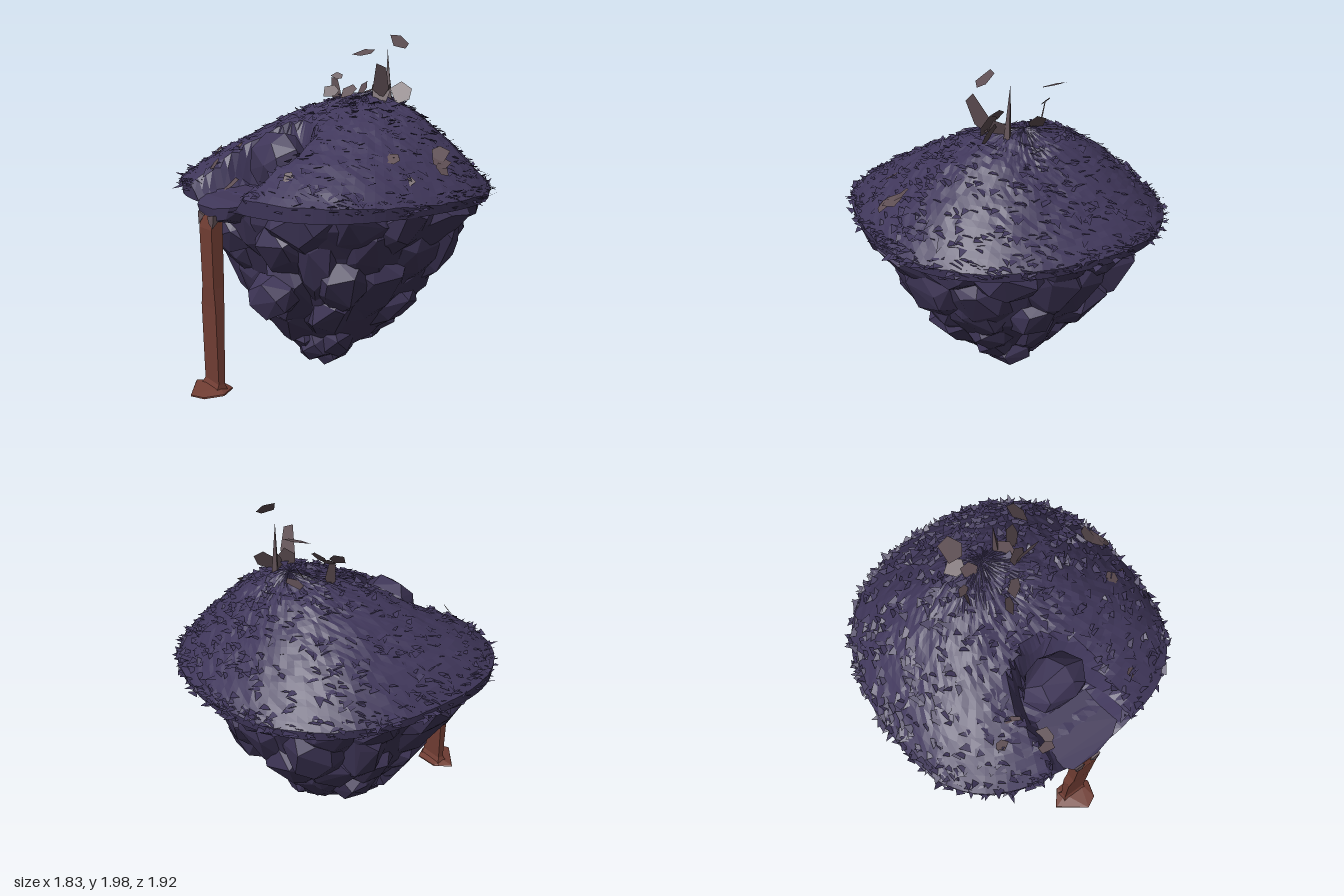
import * as THREE from 'three';
import { mergeGeometries } from 'three/addons/utils/BufferGeometryUtils.js';
import { ConvexGeometry } from 'three/addons/geometries/ConvexGeometry.js';

const mat = (name, color, side = THREE.FrontSide) =>
  Object.assign(new THREE.MeshStandardMaterial({ color, flatShading: true, side }), { name });

function seeded(seed) {
  return () => {
    seed = (seed * 1664525 + 1013904223) % 4294967296;
    return seed / 4294967296;
  };
}

const { cos, sin, abs, pow, hypot, min, max, PI } = Math;
const { lerp, smoothstep: smooth } = THREE.MathUtils;
const V = (x, y, z) => new THREE.Vector3(x, y, z);

// Rounded-square outline of the island, fuller at the front
function outline(a) {
  const n = sin(a) > 0 ? 2.9 : 2.3;
  const r = 1 / pow(pow(abs(cos(a)) / 0.87, n) + pow(abs(sin(a)) / 0.855, n), 1 / n);
  return [r * cos(a), r * sin(a) - 0.05];
}

// Arch-shaped hollow: round behind the boulder, open towards the front
const hollow = (x, z) => 1 - smooth(hypot(x - 0.01, min(0, z - 0.45)), 0.19, 0.27);

// Mound surface: t runs from the peak (0) to the rim (1)
function mound(t, a) {
  const [ox, oz] = outline(a);
  const x = lerp(0.03, ox, t), z = lerp(-0.3, oz, t);
  const s = sin(a);
  const e = 1.85 - (s > 0 ? 0.4 : 0.65) * s * s;
  let y = 1.12 + 0.535 * (1 - pow(t, e)) + 0.012 * sin(x * 19 + z * 7) * sin(z * 23) * (1 - t);
  y += 0.04 * max(0, s) * smooth(t, 0.6, 0.9);
  y = lerp(y, min(y, 1.13 - 0.06 * smooth(z, 0.6, 0.8)), hollow(x, z));
  return V(x, y, z);
}

// Closed surface through loops of points, each loop running from +x towards +z
function skin(loops) {
  const n = loops[0].length, pos = [], idx = [];
  loops.forEach(l => l.forEach(p => pos.push(p.x, p.y, p.z)));
  for (let i = 0; i < loops.length - 1; i++) for (let j = 0; j < n; j++) {
    const a = i * n + j, c = i * n + (j + 1) % n;
    idx.push(a, c, a + n, c, c + n, a + n);
  }
  const g = new THREE.BufferGeometry();
  g.setAttribute('position', new THREE.Float32BufferAttribute(pos, 3));
  g.setIndex(idx);
  g.computeVertexNormals();
  return g;
}

// Underside sizes: height, half width, front depth, back depth
const LEVELS = [[1.1, 0.86, 0.78, 0.86], [1, 0.84, 0.77, 0.81], [0.83, 0.72, 0.69, 0.73],
  [0.6, 0.62, 0.58, 0.63], [0.4, 0.47, 0.5, 0.44], [0.2, 0.29, 0.34, 0.3], [0.05, 0.1, 0.14, 0.1]];

function under(y, a, inset = 0) {
  let i = 0;
  while (i < LEVELS.length - 2 && y < LEVELS[i + 1][0]) i++;
  const A = LEVELS[i], B = LEVELS[i + 1], k = (A[0] - y) / (A[0] - B[0]);
  const w = lerp(A[1], B[1], k), d = sin(a) > 0 ? lerp(A[2], B[2], k) : lerp(A[3], B[3], k);
  const q = pow(pow(abs(cos(a)), 2.3) + pow(abs(sin(a)), 2.3), -1 / 2.3);
  return V((w - inset) * q * cos(a) + 0.01, y, (d - inset) * q * sin(a));
}

// Angular slab lying on the underside: hull of a rim, a raised face and a buried back
function slab(rnd, y, a, h, w) {
  const pts = [], da = w / max(0.25, hypot(under(y, a).x, under(y, a).z));
  const put = (r, b, inset) => {
    const py = THREE.MathUtils.clamp(y + r * h * sin(b), 0.06, 1.1);
    pts.push(under(py, a + r * da * cos(b), inset));
  };
  const turn = rnd() * 6, lift = (rnd() - 0.5) * 0.05;
  for (let i = 0; i < 7; i++) {
    const b = turn + (i + rnd() * 0.5) / 7 * 2 * PI;
    put(1.1, b, 0.06 + rnd() * 0.03);
    if (i % 2 === 0) put(0.6, b, -0.01 + lift + rnd() * 0.03);
    if (i % 3 === 0) put(0.6, b, 0.17);
  }
  return new ConvexGeometry(pts);
}

// Faceted stone: hull of jittered points on a boxy ellipsoid
function stone(rnd, c, sx, sy, sz, count = 18) {
  const pts = [];
  for (let i = 0; i < count; i++) {
    const h = 1 - 2 * (i + 0.5) / count, b = i * 2.4 + rnd() * 0.7, r = Math.sqrt(1 - h * h);
    const v = V(r * cos(b), h, r * sin(b));
    v.multiplyScalar(pow(abs(v.x) ** 2.5 + abs(v.y) ** 2.5 + abs(v.z) ** 2.5, -0.4) * (0.92 + rnd() * 0.12));
    pts.push(v.multiply(V(sx, sy, sz)));
  }
  return new ConvexGeometry(pts).translate(c.x, c.y, c.z);
}

export function createModel() {
  const group = new THREE.Group();
  const grassMat = mat('duskyGrass', 0x40375b, THREE.DoubleSide);
  const rockMat = mat('purpleRock', 0x3f3658);
  const flowMat = mat('rustyFlow', 0x723e34, THREE.DoubleSide);
  const shardMat = mat('brownShards', 0x5f4f54, THREE.DoubleSide);
  const add = (name, geo, m) => {
    const mesh = new THREE.Mesh(geo, m);
    mesh.name = name;
    group.add(mesh);
    return mesh;
  };
  const rnd = seeded(41);

  // Mound with a short skirt and closed underside
  const N = 96, rings = 26, loops = [];
  const ring = f => Array.from({ length: N }, (_, j) => f(j / N * 2 * PI));
  for (let i = 0; i <= rings; i++) loops.push(ring(a => {
    const p = mound(i / rings, a);
    if (i > 0) p.y += (rnd() - 0.5) * 0.01;
    return p;
  }));
  loops.push(ring(a => mound(1, a).multiply(V(0.99, 0, 0.99)).setY(1.07)));
  loops.push(ring(() => V(0, 1.09, 0)));
  add('grassMound', skin(loops), grassMat);

  // Grass tufts lying along the slope, thickest and wildest at the rim
  const tufts = [];
  for (let i = 0; i < 1350; i++) {
    const rim = i > 850, a = rnd() * 2 * PI;
    const t = rim ? 0.93 + rnd() * 0.07 : 0.12 + 0.86 * pow(rnd(), 0.6);
    const p = mound(t, a);
    if (hollow(p.x, p.z) > 0.05) continue;
    const b = a + (rnd() - 0.5) * 3, w = 0.015 + rnd() * 0.02, l = 0.03 + rnd() * 0.035;
    const tip = mound(min(1, t + l * cos(b - a)), a + l * sin(b - a) / max(0.2, t));
    if (rim) p.y -= rnd() * 0.05;
    const up = rim ? p.y + (rnd() - 0.4) * 0.05 : tip.y + 0.005 + rnd() * 0.025;
    tufts.push(p.x - sin(b) * w, p.y + 0.006, p.z + cos(b) * w,
      p.x + cos(b) * l, up, p.z + sin(b) * l,
      p.x + sin(b) * w, p.y - 0.004, p.z - cos(b) * w);
  }
  const tuftGeo = new THREE.BufferGeometry();
  tuftGeo.setAttribute('position', new THREE.Float32BufferAttribute(tufts, 3));
  tuftGeo.computeVertexNormals();
  add('grassTufts', tuftGeo, grassMat);

  // Rocky underside: inner core covered with overlapping slabs
  const coreRing = f => Array.from({ length: 24 }, (_, j) => f(j / 24 * 2 * PI));
  const core = LEVELS.slice(0, 6).map(l => coreRing(a => under(l[0], a, 0.06)));
  core.push(coreRing(() => V(0.04, 0.05, 0.05)));
  add('rockCore', skin(core), rockMat);
  const stones = [];
  [[1.0, 15, 0.15, 0.19], [0.8, 14, 0.19, 0.17], [0.59, 12, 0.2, 0.16], [0.39, 9, 0.18, 0.15], [0.22, 6, 0.13, 0.13]]
    .forEach(([y, n, h, w], k) => {
      for (let j = 0; j < n; j++) {
        const a = (j + k * 0.5 + rnd() * 0.5) / n * 2 * PI;
        stones.push(slab(rnd, y + (rnd() - 0.5) * 0.1, a, h * (0.8 + rnd() * 0.4), w * (0.8 + rnd() * 0.4)));
      }
    });
  // Stones of the bottom tip, the front bulge and the spur behind the flow
  [[0.06, 0.17, 0.06, 0.13, 0.165, 0.15], [-0.16, 0.24, 0.08, 0.13, 0.11, 0.14], [0.06, 0.24, -0.2, 0.14, 0.13, 0.13],
    [0.13, 0.22, 0.2, 0.11, 0.13, 0.13], [0.22, 0.59, 0.57, 0.16, 0.13, 0.15], [-0.04, 0.93, 0.62, 0.2, 0.15, 0.15]]
    .forEach(([x, y, z, ...size]) => stones.push(stone(rnd, V(x, y, z), ...size)));
  add('undersideStones', mergeGeometries(stones), rockMat);

  // Boulder in the hollow, and the smooth ledge in front of it
  add('boulder', stone(seeded(7), V(0.03, 1.275, 0.39), 0.21, 0.18, 0.145, 24), rockMat);
  add('channelLedge', new ConvexGeometry([[-0.24, 1.14, 0.5], [0.22, 1.14, 0.5], [0.24, 1.11, 0.74], [0.16, 1.09, 0.8],
    [0.03, 1.07, 0.83], [-0.14, 1.07, 0.83], [-0.24, 1.11, 0.74], [-0.2, 0.96, 0.55], [0.2, 0.96, 0.55],
    [0.12, 1.02, 0.8], [0.03, 1.0, 0.82], [-0.13, 1.02, 0.82]].map(p => V(...p))), rockMat);

  // Falling flow: slightly kinked square strip
  const flow = [[1.02, -0.11, 0.03, 0.77, 0.825], [0.95, -0.105, 0.03, 0.77, 0.84], [0.62, -0.1, 0.03, 0.77, 0.835],
    [0.5, -0.125, 0.035, 0.775, 0.83], [0.06, -0.115, 0.04, 0.785, 0.825], [0.02, -0.13, 0.045, 0.77, 0.845]]
    .map(([y, l, r, b, f]) => [V(r, y, b), V(r, y, f), V(l, y, f), V(l, y, b)]);
  add('fallingFlow', skin(flow), flowMat);

  // Splash pool at the foot of the flow
  add('splashPool', new ConvexGeometry([[-0.2, 0.84], [-0.02, 0.97], [0.06, 0.93], [0.09, 0.82], [0.03, 0.73], [-0.12, 0.74]]
    .flatMap(([x, z]) => [V(x, 0.012, z), V(x * 0.96, 0.02, z)]).concat(V(-0.1, 0.04, 0.81), V(0.03, 0.04, 0.81))), flowMat);

  // Stone chips at both corners of the spill
  for (const [x, s] of [[-0.115, 1], [0.04, -1]])
    add('spillChip', new ConvexGeometry([V(x - s * 0.015, 1.03, 0.78), V(x, 0.96, 0.838), V(x + s * 0.06, 1.02, 0.836),
      V(x - s * 0.01, 1.035, 0.836), V(x + s * 0.03, 0.985, 0.844)]), shardMat);

  // Flat broken shards: centre, width and height, facing direction, roll
  const plate = new THREE.ShapeGeometry(new THREE.Shape([[-0.5, -0.3], [0.1, -0.5], [0.5, -0.15], [0.35, 0.45], [-0.25, 0.5]]
    .map(p => new THREE.Vector2(...p))));
  const shard = (x, y, z, w, h, nx, ny, nz, roll = 0) => {
    const m = add('shard', plate, shardMat);
    m.position.set(x, y, z);
    m.scale.set(w, h, 1);
    m.lookAt(x + nx, y + ny, z + nz);
    m.rotateZ(roll);
  };
  // Two floating pieces
  shard(-0.12, 1.89, -0.34, 0.13, 0.13, 0.1, 1, 0.3);
  shard(0.26, 1.955, -0.29, 0.12, 0.12, 0.65, 0.75, 0.05);
  // Cluster on the peak
  shard(0.24, 1.73, -0.17, 0.11, 0.22, 0.25, -0.4, 0.9, -0.25);
  shard(0.2, 1.66, -0.2, 0.12, 0.14, 0.4, 0.3, 0.9, 0.5);
  shard(0.25, 1.66, -0.32, 0.13, 0.13, 0.5, 0.4, 0.6, 0.7);
  shard(0.17, 1.66, -0.28, 0.12, 0.12, -0.6, 0.3, 0.5, 0.3);
  shard(0.08, 1.67, -0.06, 0.11, 0.08, 0.2, 0.6, 0.7, 0.6);
  shard(-0.16, 1.67, -0.15, 0.06, 0.15, 0.9, 0.2, 0.4, 0.1);
  shard(-0.17, 1.75, -0.17, 0.08, 0.05, 0.4, 0.7, 0.6, -0.4);
  shard(-0.06, 1.67, -0.28, 0.1, 0.1, -0.2, 0.5, 0.8, 0.5);
  shard(-0.11, 1.65, -0.35, 0.12, 0.1, -0.2, 0.9, 0.3);
  shard(0.0, 1.67, 0.01, 0.1, 0.08, 0.6, 0.6, 0.5, 0.3);
  const spike = add('peakSpike', new THREE.ConeGeometry(0.026, 0.34, 4), shardMat);
  spike.position.set(0.135, 1.75, -0.32);
  spike.rotation.z = 0.06;
  // Pieces scattered over the slopes
  [[0.71, 1.36, -0.2, 0.1], [0.75, 1.32, -0.17, 0.11], [0.79, 1.29, -0.14, 0.08], [0.66, 1.35, 0.1, 0.08],
    [0.77, 1.24, 0.08, 0.06], [0.4, 1.49, 0.1, 0.07], [-0.42, 1.32, 0.53, 0.07], [-0.3, 1.34, 0.47, 0.09],
    [-0.18, 1.15, 0.6, 0.11], [0.42, 1.27, 0.6, 0.06], [0.68, 1.25, 0.27, 0.07], [-0.68, 1.28, 0.2, 0.06], [-0.22, 1.27, 0.67, 0.08]]
    .forEach(([x, y, z, s]) => shard(x, y, z, s, s * 1.1, x * 0.6 + rnd() * 0.4 - 0.2, 0.6, z * 0.6 + rnd() * 0.5, rnd() * 3));
  return group;
}
